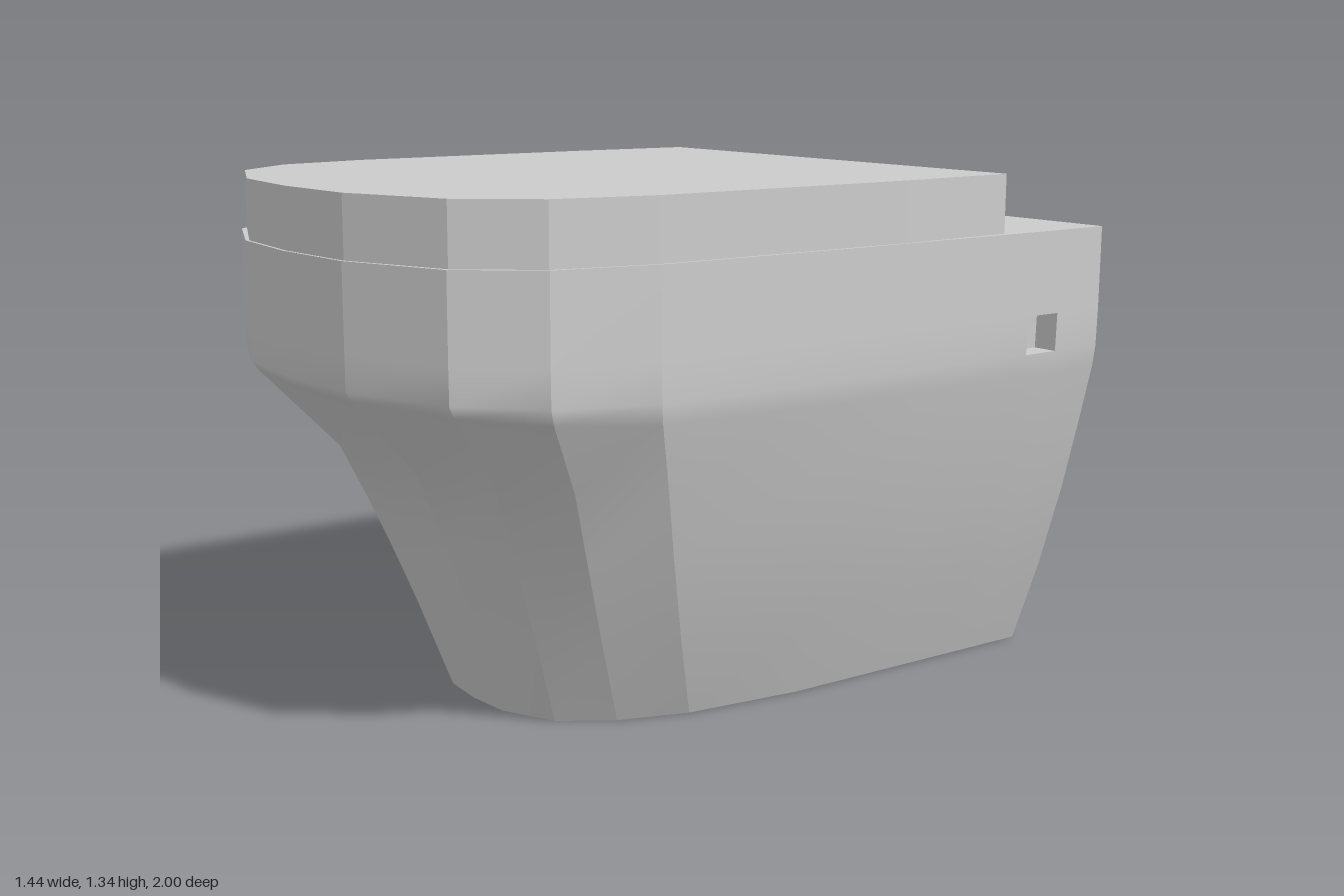
import * as THREE from 'three';

// Half outline from the front centre to the back: [rim x, rim z, foot x, foot z, side weight]
const COLUMNS = [
  [0, 0.995, 0, 0.51, 0],
  [0.26, 0.975, 0.125, 0.5, 0.03],
  [0.535, 0.865, 0.265, 0.43, 0.15],
  [0.67, 0.69, 0.35, 0.3, 0.45],
  [0.718, 0.43, 0.41, 0.12, 0.85],
  [0.72, -0.1, 0.445, -0.2, 1],
  [0.713, -0.5, 0.445, -0.5, 1],
  [0.708, -0.73, 0.445, -0.73, 1],
  [0.705, -0.84, 0.445, -0.84, 1],
  [0.7, -1, 0.445, -1, 1],
];
// Height and flare of each ring, for the front and for the sides
const FRONT = [[1.19, 1], [0.98, 1], [0.895, 1], [0.87, 0.96], [0.66, 0.55], [0.47, 0.37], [0.24, 0.18], [0, 0]];
const SIDE = [[1.19, 1], [0.975, 1], [0.875, 0.99], [0.82, 0.96], [0.66, 0.81], [0.47, 0.62], [0.24, 0.345], [0, 0]];
const LAST = COLUMNS.length - 1;
const RINGS = FRONT.length;

const material = new THREE.MeshStandardMaterial({ color: 0xcccccc });

function mesh(name, points, index) {
  const geo = new THREE.BufferGeometry().setFromPoints(points);
  geo.setIndex(index);
  geo.computeVertexNormals();
  const m = new THREE.Mesh(geo, material);
  m.name = name;
  return m;
}

// Point on the bowl: j runs from the left back, round the front, to the right back
function bowlPoint(i, j) {
  const k = j - LAST;
  const [tx, tz, bx, bz, w] = COLUMNS[Math.abs(k)];
  const lerp = THREE.MathUtils.lerp;
  const y = lerp(FRONT[i][0], SIDE[i][0], w);
  const g = lerp(FRONT[i][1], SIDE[i][1], w);
  return new THREE.Vector3((k <= 0 ? 1 : -1) * lerp(bx, tx, g), y, lerp(bz, tz, g));
}

// The cell left open for a side socket
const isSocket = (i, j) => i === 1 && (j === LAST - 8 || j === LAST + 7);

// One smooth panel of the bowl between two columns
function panel(from, to) {
  const points = [], index = [], n = to - from + 1;
  for (let i = 0; i < RINGS; i++) {
    for (let j = from; j <= to; j++) {
      points.push(bowlPoint(i, j));
      if (i === RINGS - 1 || j === to || isSocket(i, j)) continue;
      const a = i * n + j - from;
      index.push(a, a + 1, a + n + 1, a, a + n + 1, a + n);
    }
  }
  return mesh('bowlPanel', points, index);
}

// Flat convex face
function cap(name, points) {
  const index = [];
  for (let i = 1; i < points.length - 1; i++) index.push(0, i, i + 1);
  return mesh(name, points, index);
}

// Square recess in the side wall
function socket(j) {
  const outer = [bowlPoint(1, j), bowlPoint(1, j + 1), bowlPoint(2, j + 1), bowlPoint(2, j)];
  const inner = outer.map((p) => new THREE.Vector3(p.x - Math.sign(p.x) * 0.07, p.y, p.z));
  const group = new THREE.Group();
  group.name = 'sideSocket';
  group.add(cap('socketFloor', inner));
  for (let e = 0; e < 4; e++) {
    const f = (e + 1) % 4;
    group.add(cap('socketWall', [outer[e], outer[f], inner[f], inner[e]]));
  }
  return group;
}

function bowl() {
  const group = new THREE.Group();
  group.name = 'bowl';

  // Curved walls, with vertical creases round the front
  const creases = [0];
  for (let k = -4; k <= 4; k++) if (k !== 0) creases.push(LAST + k);
  creases.push(2 * LAST);
  for (let c = 0; c < creases.length - 1; c++) group.add(panel(creases[c], creases[c + 1]));

  // Top, foot and back faces
  const ring = (i) => Array.from({ length: 2 * LAST + 1 }, (_, j) => bowlPoint(i, j));
  const edge = (j) => Array.from({ length: RINGS }, (_, i) => bowlPoint(i, j));
  group.add(cap('bowlTop', ring(0).reverse()));
  group.add(cap('bowlFoot', ring(RINGS - 1)));
  group.add(cap('bowlBack', [...edge(0), ...edge(2 * LAST).reverse()]));

  group.add(socket(LAST - 8), socket(LAST + 7));
  return group;
}

// Lid: a flat slab slightly inside the rim, stopping short of the back
function lid() {
  const half = [[0.69, -0.65], [0.71, -0.3], [0.71, 0.43], [0.66, 0.685], [0.525, 0.855], [0.255, 0.967]];
  const outline = [...half, [0, 0.987], ...half.map(([x, z]) => [-x, z]).reverse()];
  const shape = new THREE.Shape(outline.map(([x, z]) => new THREE.Vector2(x, -z)));
  const geo = new THREE.ExtrudeGeometry(shape, { depth: 0.15, bevelEnabled: false });
  geo.rotateX(-Math.PI / 2);
  geo.translate(0, 1.19, 0);
  const m = new THREE.Mesh(geo, material);
  m.name = 'lid';
  return m;
}

export function createModel() {
  const model = new THREE.Group();
  model.name = 'toilet';
  model.add(bowl(), lid());
  return model;
}
